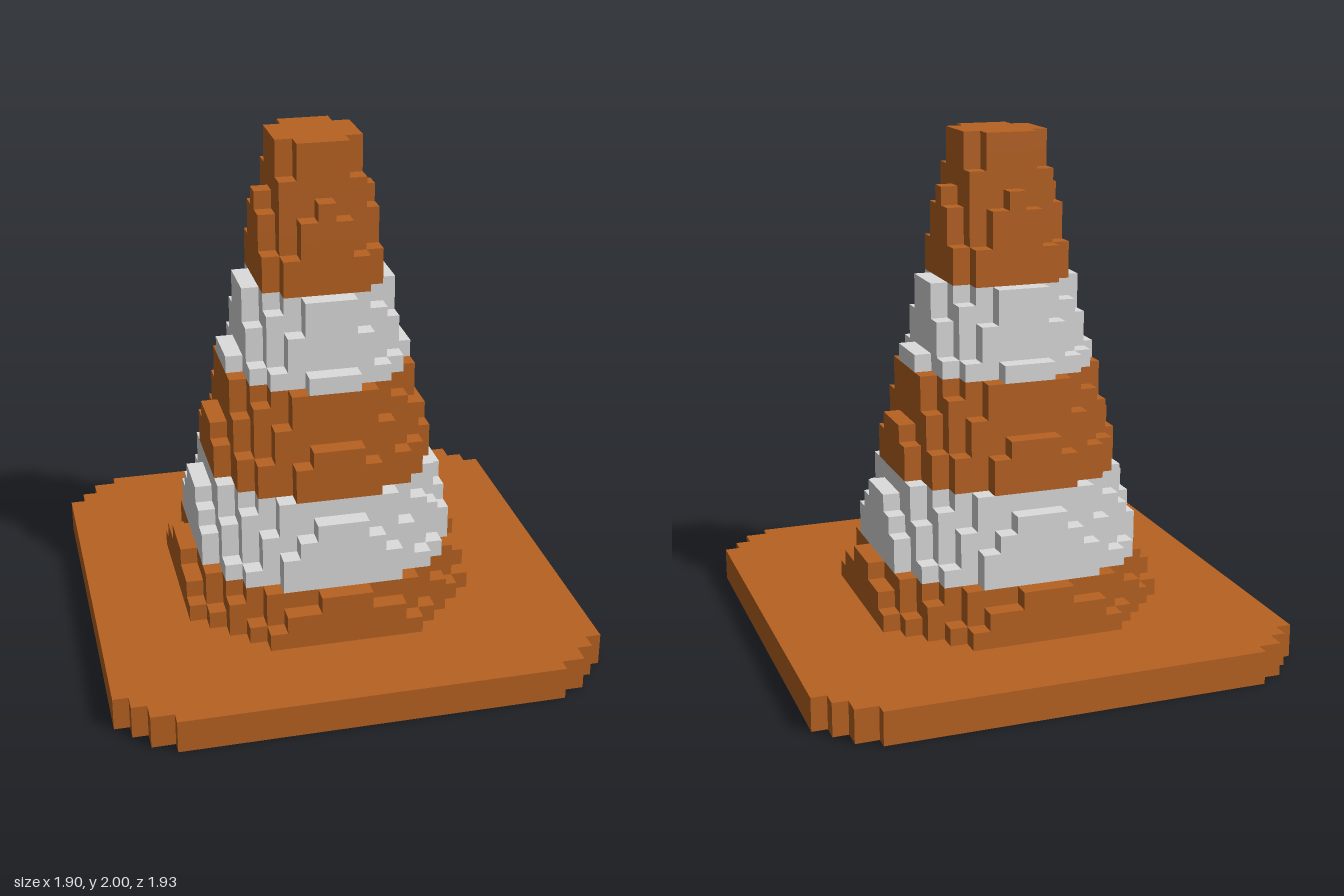
import * as THREE from 'three';
import { mergeGeometries } from 'three/addons/utils/BufferGeometryUtils.js';

const CELL_X = 0.067, CELL_Z = 0.07, CENTRE_X = -0.018;

// Horizontal slab with the given outline, from y0 to y1
function slab(points, y0, y1) {
  const shape = new THREE.Shape(points.map(([x, z]) => new THREE.Vector2(x, z)));
  const g = new THREE.ExtrudeGeometry(shape, { depth: y1 - y0, bevelEnabled: false });
  return g.rotateX(-Math.PI / 2).translate(0, y0, 0);
}

// Mirror one quarter outline (running from +z to +x) into a closed outline
function mirrorQuarter(q) {
  const back = [...q].reverse();
  return [
    ...q,
    ...back.map(([x, z]) => [x, -z]),
    ...q.map(([x, z]) => [-x, -z]),
    ...back.map(([x, z]) => [-x, z]),
  ];
}

// Staircase outline of a disc made of square cells
function blockDisc(radius) {
  const quarter = [];
  let last = -1;
  for (let j = Math.floor(radius); j >= 0; j--) {
    const w = Math.floor(Math.sqrt(radius * radius - j * j));
    if (w === last) continue;
    if (last >= 0) quarter.push([(last + 0.5) * CELL_X, (j + 0.5) * CELL_Z]);
    quarter.push([(w + 0.5) * CELL_X, (j + 0.5) * CELL_Z]);
    last = w;
  }
  return mirrorQuarter(quarter).map(([x, z]) => [x + CENTRE_X, z]);
}

// Height of the bottom of layer k, and cone radius in cells for that layer
const layerY = (k) => (k <= 19 ? 0.13 + 0.0685 * k : 1.4315 + (k - 19) * 0.5685 / 8);
function layerRadius(k) {
  if (k < 3) return 8.95 - 0.37 * k;
  if (k < 19) return 8.7 - 0.25 * k;
  return 3.95 - 0.2 * (k - 19);
}

export function createModel() {
  const group = new THREE.Group();
  const orange = new THREE.MeshStandardMaterial({ color: 0xb86222 });
  orange.name = 'orange';
  const white = new THREE.MeshStandardMaterial({ color: 0xdcdcdc });
  white.name = 'white';

  const add = (name, geometry, material) => {
    const mesh = new THREE.Mesh(geometry, material);
    mesh.name = name;
    group.add(mesh);
  };

  // Square foot with stepped corners
  const corner = [
    [0.74, 0.965], [0.74, 0.915], [0.83, 0.915], [0.83, 0.84],
    [0.89, 0.84], [0.89, 0.775], [0.95, 0.775],
  ];
  add('basePlate', slab(mirrorQuarter(corner), 0, 0.13), orange);

  // Cone bands, each a stack of blocky discs
  const bands = [
    ['lowerBand', 0, 3, orange],
    ['lowerStripe', 3, 8, white],
    ['middleBand', 8, 14, orange],
    ['upperStripe', 14, 19, white],
    ['tip', 19, 27, orange],
  ];
  for (const [name, from, to, material] of bands) {
    const layers = [];
    for (let k = from; k < to; k++) {
      layers.push(slab(blockDisc(layerRadius(k)), layerY(k), layerY(k + 1)));
    }
    add(name, mergeGeometries(layers), material);
  }
  return group;
}
